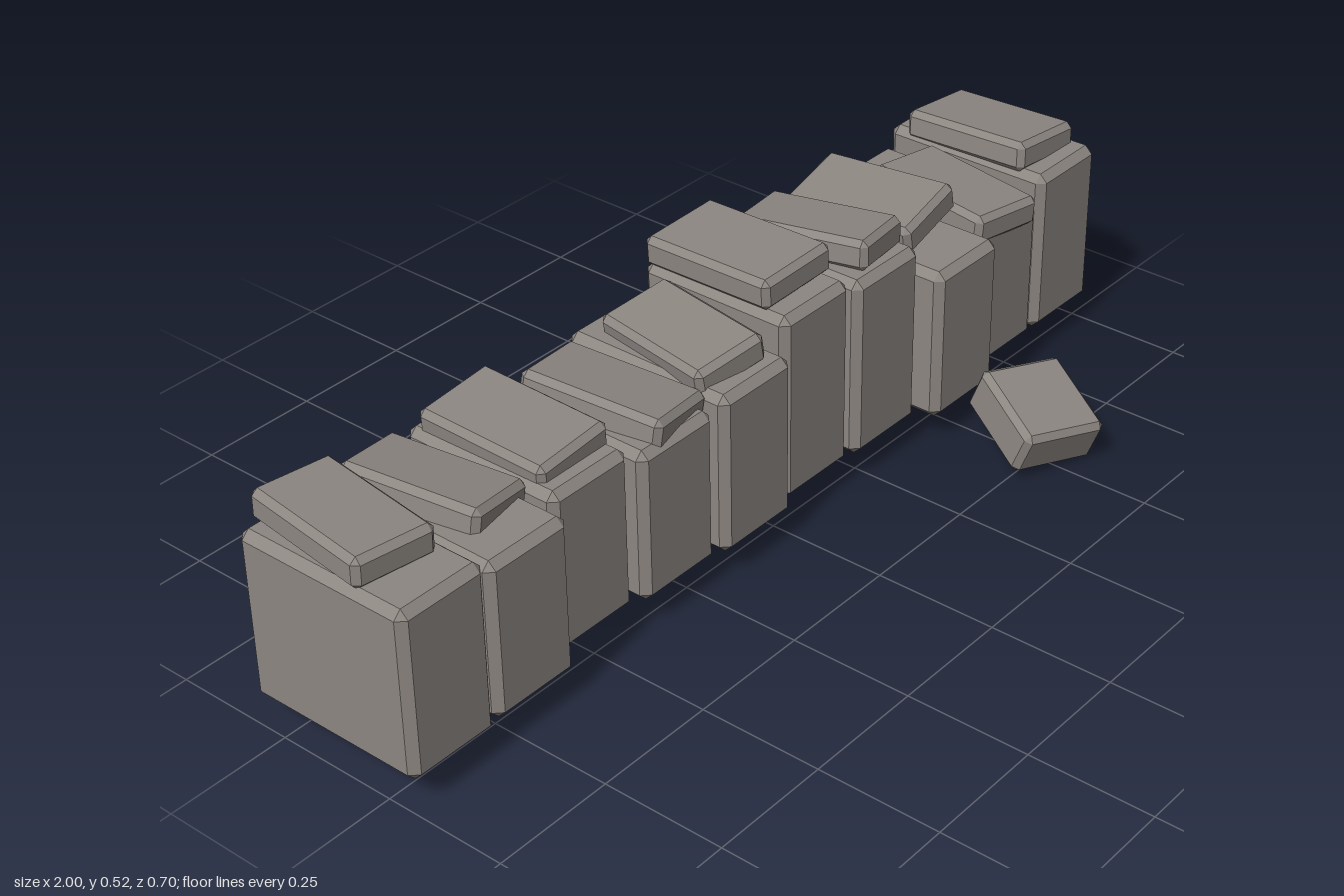
import * as THREE from 'three';
import { ConvexGeometry } from 'three/addons/geometries/ConvexGeometry.js';

// Box with every edge chamfered by c: three points at each corner
function chamferBox(w, h, d, c) {
  const points = [];
  for (const sx of [-1, 1]) for (const sy of [-1, 1]) for (const sz of [-1, 1]) {
    const x = w / 2, y = h / 2, z = d / 2;
    points.push(
      new THREE.Vector3(sx * x, sy * (y - c), sz * (z - c)),
      new THREE.Vector3(sx * (x - c), sy * y, sz * (z - c)),
      new THREE.Vector3(sx * (x - c), sy * (y - c), sz * z),
    );
  }
  return new ConvexGeometry(points);
}

export function createModel() {
  const group = new THREE.Group();
  const stone = new THREE.MeshStandardMaterial({ color: 0x8c8681, flatShading: true });
  stone.name = 'greyStone';

  function addStone(name, size, chamfer, position, rotation = [0, 0, 0]) {
    const mesh = new THREE.Mesh(chamferBox(...size, chamfer), stone);
    mesh.name = name;
    mesh.position.set(...position);
    mesh.rotation.set(...rotation, 'YXZ');
    group.add(mesh);
  }

  // Upright wall blocks: back z, front z, top y
  const blocks = [
    [-0.315, 0.065, 0.397], [-0.32, 0.06, 0.375], [-0.335, 0.015, 0.385],
    [-0.285, 0.035, 0.37], [-0.325, 0.05, 0.39], [-0.315, 0.025, 0.448],
    [-0.315, 0.035, 0.435], [-0.305, 0.077, 0.378], [-0.347, 0.03, 0.365],
    [-0.347, 0.032, 0.405],
  ];
  // Loose cap stones: width, depth, x, y, z, pitch, yaw, roll
  const caps = [
    [0.165, 0.29, -0.895, 0.42, -0.17, 0, -0.13, -0.02],
    [0.158, 0.28, -0.695, 0.382, -0.17, 0.05, 0.19, -0.16],
    [0.175, 0.29, -0.497, 0.395, -0.17, 0.03, 0.01, 0.08],
    [0.165, 0.29, -0.295, 0.382, -0.125, 0.08, 0.17, -0.13],
    [0.16, 0.28, -0.097, 0.405, -0.13, 0, -0.17, 0.16],
    [0.19, 0.295, 0.1, 0.478, -0.165, -0.02, -0.01, 0.03],
    [0.158, 0.28, 0.3, 0.451, -0.135, -0.05, 0.19, -0.09],
    [0.18, 0.285, 0.497, 0.418, -0.163, -0.03, 0.1, 0.16],
    [0.17, 0.295, 0.7, 0.371, -0.105, 0.03, -0.14, -0.06],
    [0.182, 0.29, 0.9, 0.416, -0.162, -0.05, -0.02, -0.09],
  ];
  const base = 0.055, width = 0.193, pitch = (2 - width) / 9;
  blocks.forEach(([back, front, top], i) => {
    addStone('wallBlock' + (i + 1), [width, top - base, front - back], 0.016,
      [-1 + width / 2 + i * pitch, (top + base) / 2, (front + back) / 2]);
  });
  caps.forEach(([w, d, x, y, z, rx, ry, rz], i) => {
    addStone('capStone' + (i + 1), [w, 0.062, d], 0.012, [x, y, z], [rx, ry, rz]);
  });

  // Fallen stone lying in front of the wall
  addStone('fallenStone', [0.185, 0.098, 0.19], 0.012, [0.52, 0.08, 0.232], [0.35, -0.4, -0.13]);
  return group;
}
